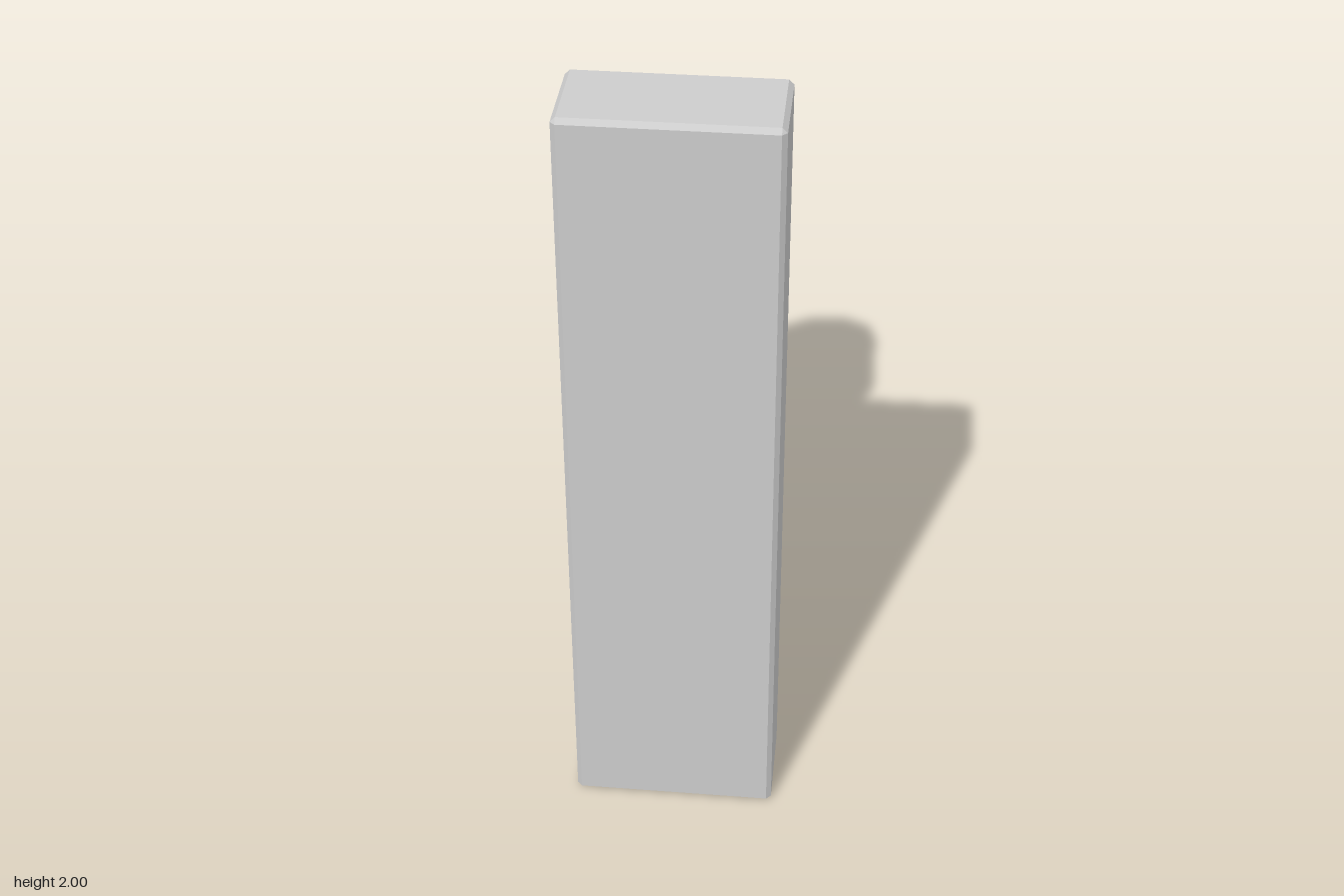
import * as THREE from 'three';

const midY = 1.004;
const sides = 10;
const grey = new THREE.MeshStandardMaterial({ color: 0xcccccc });
grey.name = 'plain grey';

// Rectangle with cut corners, counter-clockwise seen from +z
function loop(hx, hy, z, c) {
  return [
    [hx, -hy + c], [hx, hy - c], [hx - c, hy], [-hx + c, hy],
    [-hx, hy - c], [-hx, -hy + c], [-hx + c, -hy], [hx - c, -hy],
  ].map(([x, y]) => new THREE.Vector3(x, y + 1, z));
}

// Bevelled slab, hollowed from the back: loops run from the front face
// around the outside, over the rim and down into the cavity
function plateGeometry() {
  const loops = [
    loop(0.243, 0.988, 0.68, 0),
    loop(0.255, 1, 0.668, 0.012),
    loop(0.255, 1, 0.447, 0.012),
    loop(0.243, 0.988, 0.435, 0),
    loop(0.18, 0.92, 0.435, 0.016),
    loop(0.168, 0.908, 0.447, 0.012),
    loop(0.168, 0.908, 0.637, 0.012),
    loop(0.152, 0.892, 0.655, 0),
  ];
  const pos = [];
  const tri = (a, b, c) => {
    const area = b.clone().sub(a).cross(c.clone().sub(a)).length();
    if (area > 1e-9) for (const p of [a, b, c]) pos.push(p.x, p.y, p.z);
  };
  for (let i = 0; i < loops.length - 1; i++) {
    for (let k = 0; k < 8; k++) {
      const n = (k + 1) % 8;
      const [a, b, c, d] = [loops[i][k], loops[i + 1][k], loops[i + 1][n], loops[i][n]];
      tri(a, b, c);
      tri(a, c, d);
    }
  }
  // Front face and cavity floor
  const floor = loops[loops.length - 1];
  for (let k = 1; k < 7; k++) {
    tri(loops[0][0], loops[0][k], loops[0][k + 1]);
    tri(floor[0], floor[k + 1], floor[k]);
  }
  const geo = new THREE.BufferGeometry();
  geo.setAttribute('position', new THREE.Float32BufferAttribute(pos, 3));
  geo.computeVertexNormals();
  return geo;
}

// Ten-sided cylinder lying along z
function rod(name, radius, z0, z1) {
  const geo = new THREE.CylinderGeometry(
    radius, radius, z1 - z0, sides, 1, false, THREE.MathUtils.degToRad(27));
  geo.rotateX(Math.PI / 2);
  geo.translate(0, midY, (z0 + z1) / 2);
  const mesh = new THREE.Mesh(geo, grey);
  mesh.name = name;
  return mesh;
}

export function createModel() {
  const model = new THREE.Group();
  model.name = 'platedHandle';

  const plate = new THREE.Mesh(plateGeometry(), grey);
  plate.name = 'hollowPlate';
  model.add(plate);

  // Shaft reaches the cavity floor; knob closes its rear end
  model.add(rod('shaft', 0.119, -0.38, 0.656));
  model.add(rod('endKnob', 0.187, -0.68, -0.38));
  return model;
}
